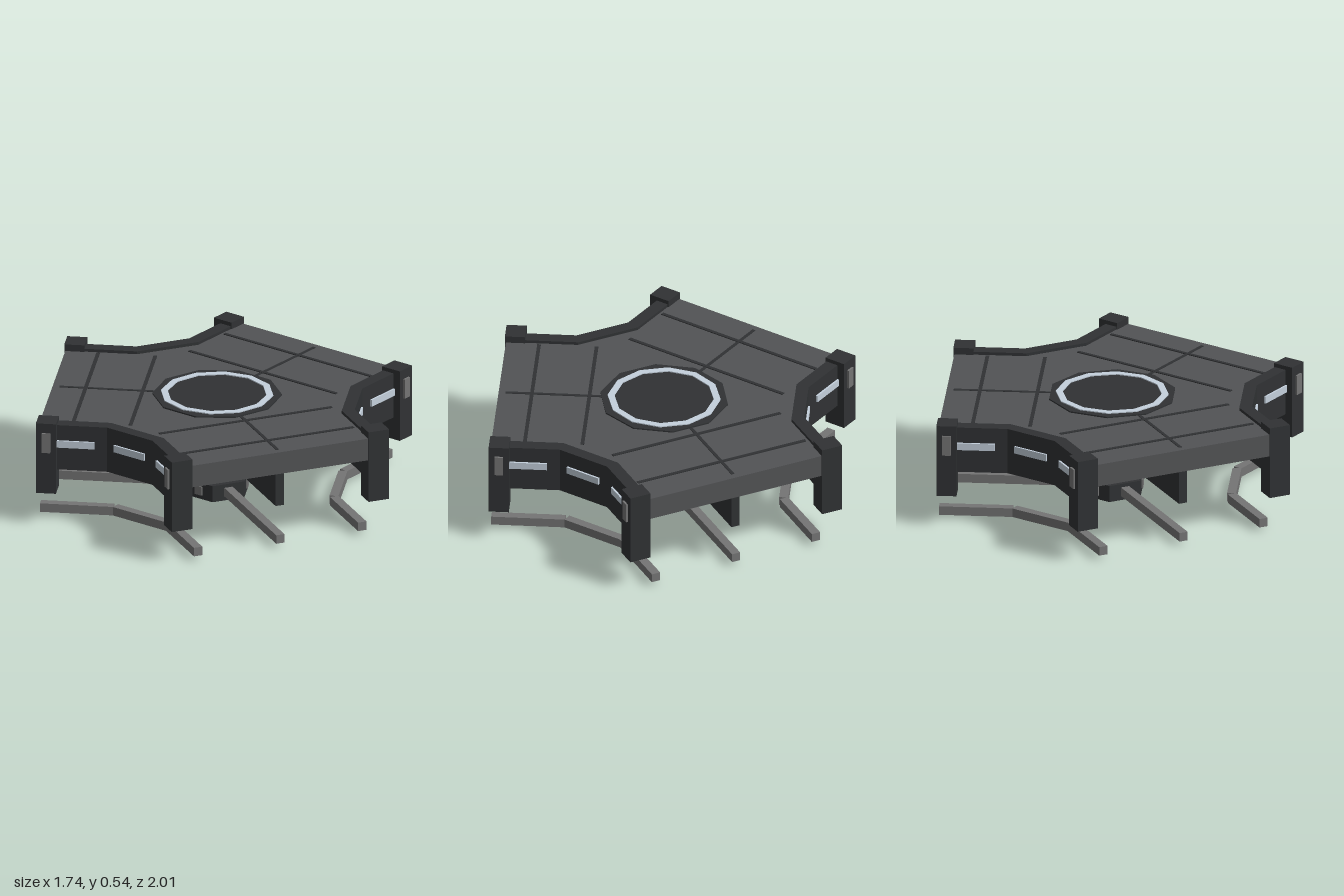
import * as THREE from 'three';

const mat = (color) => new THREE.MeshStandardMaterial({ color, flatShading: true });
const dark = mat(0x303234), deckGrey = mat(0x525355), barGrey = mat(0x747474), light = mat(0xc4d0dc);
const columnGrey = new THREE.MeshStandardMaterial({ color: 0x7c7c7c });

const C60 = 0.5, S60 = Math.sqrt(3) / 2;

function add(parent, name, geometry, material, x = 0, y = 0, z = 0) {
  const mesh = new THREE.Mesh(geometry, material);
  mesh.name = name;
  mesh.position.set(x, y, z);
  parent.add(mesh);
  return mesh;
}

// Box given by its x, y and z ranges
function box(parent, name, material, [x0, x1], [y0, y1], [z0, z1]) {
  return add(parent, name, new THREE.BoxGeometry(x1 - x0, y1 - y0, z1 - z0), material,
    (x0 + x1) / 2, (y0 + y1) / 2, (z0 + z1) / 2);
}

// Plan outline (x, z) extruded down from top to bottom
function slab(parent, name, material, points, bottom, top) {
  const g = new THREE.ExtrudeGeometry(new THREE.Shape(points), { depth: top - bottom, bevelEnabled: false });
  g.rotateX(Math.PI / 2);
  return add(parent, name, g, material, 0, top, 0);
}

// Where an arm side (z = s) meets the bay line at distance u along the 60 degree axis
const corner = (s, u) => new THREE.Vector2((u - S60 * s) / C60, s);
// Mirror a plan point across the 60 degree axis
const mirror = (p) => new THREE.Vector2(-C60 * p.x + S60 * p.y, S60 * p.x + C60 * p.y);

// Bent strip around the bay between two arms, split into separate segments when gap > 0
function bayPath(s, u, end) {
  const a = new THREE.Vector2(end, s), b = corner(s, u);
  return [a, b, mirror(b), mirror(a)];
}

function buildSector() {
  const sector = new THREE.Group();
  sector.name = 'armSector';

  // Corner posts with side plates, and windows along the arm sides
  for (const m of [-1, 1]) {
    const span = (a, b) => (m > 0 ? [a, b] : [-b, -a]);
    box(sector, 'cornerPost', dark, [0.725, 0.825], [0.17, 0.54], span(0.47, 0.58));
    box(sector, 'postPlate', barGrey, [0.753, 0.795], [0.388, 0.49], span(0.57, 0.59));
    box(sector, 'sideWindow', light, [0.538, 0.728], [0.404, 0.44], span(0.53, 0.55));
  }

  // Wall around the bay
  slab(sector, 'bayWall', dark,
    [...bayPath(0.54, 0.705, 0.74), ...bayPath(0.475, 0.643, 0.74).reverse()], 0.285, 0.52);
  const bay = new THREE.Group();
  bay.name = 'bayCentre';
  bay.rotation.y = -Math.PI / 3;
  box(bay, 'bayWindow', light, [0.695, 0.715], [0.404, 0.44], [-0.095, 0.095]);
  sector.add(bay);

  // Low bars following the bay
  const path = bayPath(0.438, 0.605, 0.825);
  for (let i = 0; i < 3; i++) {
    const a = path[i], b = path[i + 1], d = b.clone().sub(a);
    const bar = add(sector, 'bayBar', new THREE.BoxGeometry(d.length() - 0.008, 0.045, 0.045), barGrey,
      (a.x + b.x) / 2, 0.044, (a.y + b.y) / 2);
    bar.rotation.y = -Math.atan2(d.y, d.x);
  }

  // Spine under the arm and the radial bar below it
  box(sector, 'armSpine', dark, [0.05, 0.815], [0.22, 0.4], [-0.022, 0.022]);
  box(sector, 'radialBar', barGrey, [0.1, 0.823], [0.022, 0.067], [-0.022, 0.022]);

  // Deck seams
  for (const x of [0.37, 0.655]) {
    box(sector, 'crossSeam', dark, [x - 0.009, x + 0.009], [0.495, 0.509], [-0.46, 0.46]);
  }
  box(sector, 'radialSeam', dark, [0.28, 0.785], [0.495, 0.508], [-0.008, 0.008]);
  return sector;
}

export function createModel() {
  const model = new THREE.Group();
  model.name = 'platform';
  const body = new THREE.Group();
  body.name = 'platformBody';
  body.position.x = 0.042;
  model.add(body);

  // Three-armed deck
  const outline = [];
  const c = corner(0.5, 0.67);
  for (let k = 0; k < 3; k++) {
    for (const p of [new THREE.Vector2(0.82, -0.5), new THREE.Vector2(0.82, 0.5), c, mirror(c)]) {
      outline.push(p.clone().rotateAround(new THREE.Vector2(), k * 2 * Math.PI / 3));
    }
  }
  slab(body, 'deck', deckGrey, outline, 0.39, 0.505);

  for (let k = 0; k < 3; k++) {
    const sector = buildSector();
    sector.rotation.y = -k * 2 * Math.PI / 3;
    body.add(sector);
  }

  // Central pad with its light ring
  add(body, 'centrePad', new THREE.CylinderGeometry(0.32, 0.32, 0.03, 10), dark, 0, 0.497, 0);
  const ring = new THREE.Shape(), hole = new THREE.Path();
  const circle = (r) => Array.from({ length: 12 }, (_, i) =>
    new THREE.Vector2(r * Math.cos(i * Math.PI / 6), r * Math.sin(i * Math.PI / 6)));
  ring.setFromPoints(circle(0.28));
  ring.holes.push(hole.setFromPoints(circle(0.246)));
  const ringGeometry = new THREE.ExtrudeGeometry(ring, { depth: 0.01, bevelEnabled: false });
  ringGeometry.rotateX(Math.PI / 2);
  add(body, 'lightRing', ringGeometry, light, 0, 0.517, 0);

  // Column and hexagonal foot
  add(body, 'column', new THREE.CylinderGeometry(0.106, 0.106, 0.33, 24), columnGrey, 0, 0.235, 0);
  add(body, 'foot', new THREE.CylinderGeometry(0.17, 0.17, 0.085, 6), dark, 0, 0.0425, 0);
  // Small end blocks on the foot where the radial bars enter
  for (let k = 0; k < 3; k++) {
    const block = add(body, 'footBlock', new THREE.BoxGeometry(0.31, 0.045, 0.045), barGrey, 0, 0.044, 0);
    block.rotation.y = k * Math.PI / 3;
  }
  return model;
}
